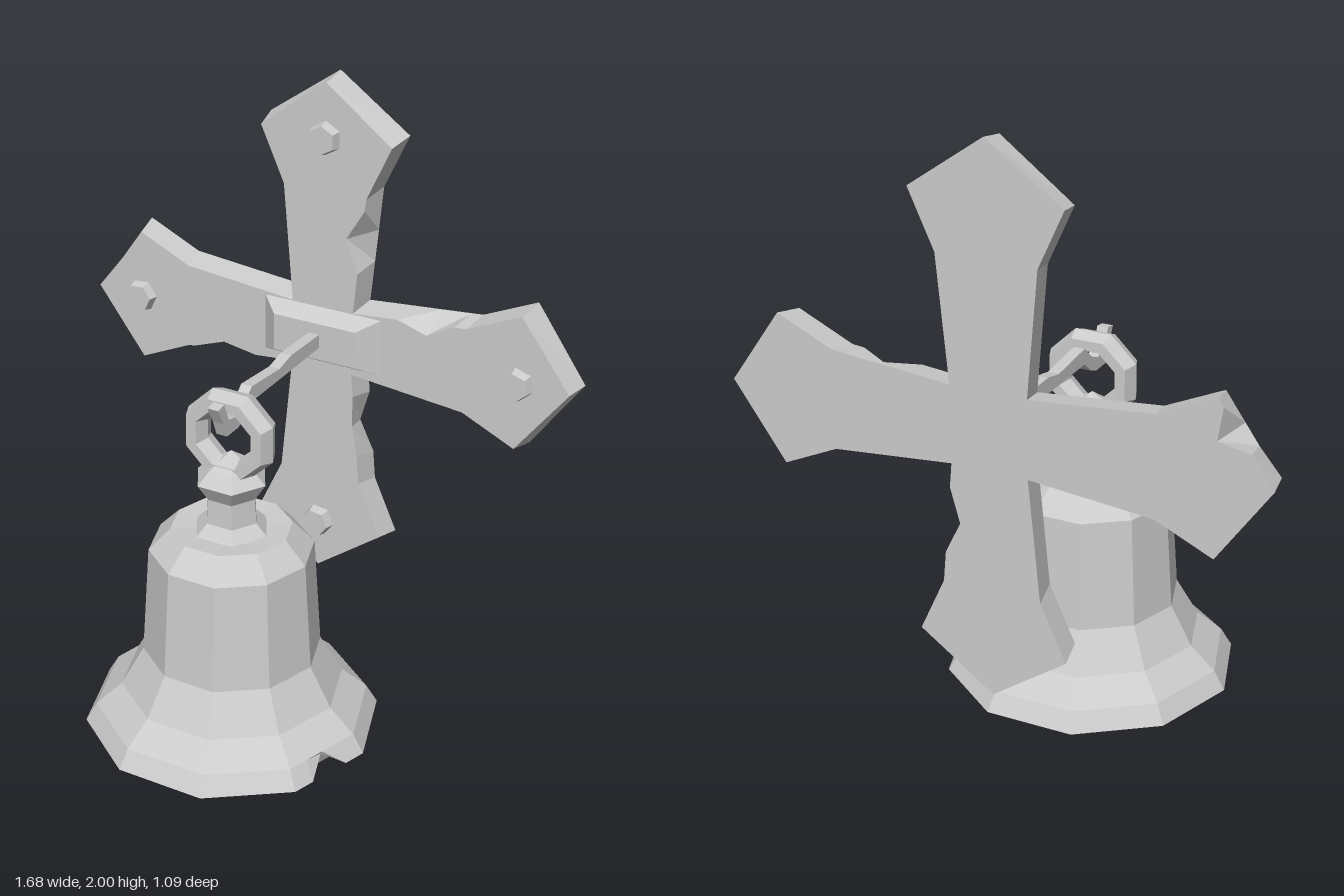
import * as THREE from 'three';

const BELL_Z = 0.11, HUB_Y = 1.16, BACK = -0.545, FACE = -0.455;
const mat = new THREE.MeshStandardMaterial({ color: 0xcccccc, flatShading: true });

function add(parent, name, geometry, x = 0, y = 0, z = 0) {
  const mesh = new THREE.Mesh(geometry, mat);
  mesh.name = name;
  mesh.position.set(x, y, z);
  parent.add(mesh);
  return mesh;
}

// Flared cross: one arm outline turned four times, front loop slightly inset, edges chipped
function crossGeometry() {
  const arm = [[0.12, 0.12], [0.155, 0.5], [0.235, 0.675], [0, 0.84], [-0.235, 0.675], [-0.155, 0.5], [-0.12, 0.12]];
  // arm (0 up, 1 right, 2 down, 3 left), edge, span along edge, front depth, back depth
  const chips = [
    { arm: 0, edge: 0, from: 0.35, to: 0.9, front: 0.05, back: 0 },
    { arm: 3, edge: 5, from: 0.1, to: 0.6, front: 0.04, back: 0 },
    { arm: 1, edge: 5, from: 0.05, to: 0.65, front: 0.03, back: 0 },
    { arm: 2, edge: 5, from: 0.25, to: 0.8, front: 0.01, back: 0.04 },
    { arm: 1, edge: 2, from: 0.1, to: 0.6, front: 0, back: 0.07 },
  ];
  const front = [], back = [];
  for (let k = 0; k < 4; k++) {
    const put = (u, v, nx = 0, ny = 0, f = 0, b = 0) => {
      const turn = (p) => p.rotateAround(new THREE.Vector2(), k * Math.PI / 2);
      back.push(turn(new THREE.Vector2(u + nx * b, v + ny * b)));
      front.push(turn(new THREE.Vector2(u - Math.sign(u) * 0.015 + nx * f, v - 0.015 + ny * f)));
    };
    for (let e = 0; e < 6; e++) {
      const [ax, ay] = arm[e], dx = arm[e + 1][0] - ax, dy = arm[e + 1][1] - ay, len = Math.hypot(dx, dy);
      put(ax, ay);
      const c = chips.find((q) => q.arm === k && q.edge === e);
      if (!c) continue;
      for (const [t, d] of [[c.from, 0], [(c.from + c.to) / 2, 1], [c.to, 0]]) {
        put(ax + dx * t, ay + dy * t, -dy / len, dx / len, c.front * d, c.back * d);
      }
    }
  }
  const n = front.length, index = [];
  const pos = [...front.map((p) => [p.x, p.y, FACE]), ...back.map((p) => [p.x, p.y, BACK])].flat();
  for (const [a, b, c] of THREE.ShapeUtils.triangulateShape(front, [])) index.push(a, b, c);
  for (const [a, b, c] of THREE.ShapeUtils.triangulateShape(back, [])) index.push(n + a, n + c, n + b);
  for (let i = 0; i < n; i++) {
    const j = (i + 1) % n;
    index.push(n + i, n + j, j, n + i, j, i);
  }
  const g = new THREE.BufferGeometry();
  g.setAttribute('position', new THREE.Float32BufferAttribute(pos, 3));
  g.setIndex(index);
  const flat = g.toNonIndexed();
  flat.computeVertexNormals();
  return flat;
}

// Ten-sided bell shell: fine lathe flattened onto a decagon, with one rim chip
function bellGeometry() {
  const profile = [
    [0, 0.72], [0.21, 0.68], [0.235, 0.36], [0.3, 0.24], [0.4, 0.095],
    [0.46, 0.095], [0.425, 0.155], [0.345, 0.225], [0.275, 0.35], [0.252, 0.7], [0.185, 0.77], [0, 0.755],
  ].map(([r, y]) => new THREE.Vector2(r, y));
  const g = new THREE.LatheGeometry(profile, 40, Math.PI / 2);
  const p = g.attributes.position, side = Math.PI / 5;
  for (let i = 0; i < p.count; i++) {
    const v = new THREE.Vector3().fromBufferAttribute(p, i);
    const a = Math.atan2(v.z, v.x) + 2 * Math.PI + 1e-6;
    const k = Math.cos(side / 2) / Math.cos((a % side) - side / 2);
    v.x *= k;
    v.z *= k;
    if (v.distanceTo(new THREE.Vector3(0.416, 0.095, 0.135)) < 0.02) {
      v.set(v.x * 0.91, 0.145, v.z * 0.91);
    }
    p.setXYZ(i, v.x, v.y, v.z);
  }
  g.computeVertexNormals();
  return g;
}

// Mounting plate: box whose front face is drawn in
function plateGeometry() {
  const g = new THREE.BoxGeometry(0.415, 0.19, 0.06);
  const p = g.attributes.position;
  for (let i = 0; i < p.count; i++) {
    if (p.getZ(i) > 0) p.setXY(i, p.getX(i) * 0.68, p.getY(i) * 0.64);
  }
  g.computeVertexNormals();
  return g;
}

// Bar ending in an upturned hook, drawn as a (z, y) side outline
function hookGeometry() {
  const outline = [
    [-0.41, 1.15], [0.02, 1.15], [0.06, 1.115], [0.1, 1.1], [0.165, 1.1], [0.185, 1.15],
    [0.215, 1.205], [0.18, 1.21], [0.155, 1.15], [0.11, 1.14], [0.07, 1.155], [0.02, 1.2],
    [-0.15, 1.185], [-0.22, 1.2], [-0.41, 1.195],
  ].map(([z, y]) => new THREE.Vector2(z, y));
  const g = new THREE.ExtrudeGeometry(new THREE.Shape(outline), { depth: 0.036, bevelEnabled: false });
  return g.rotateY(-Math.PI / 2).translate(0.018, 0, 0);
}

export function createModel() {
  const model = new THREE.Group();
  model.name = 'wallBell';

  // Wall bracket
  const bracket = new THREE.Group();
  bracket.name = 'bracket';
  model.add(bracket);
  add(bracket, 'cross', crossGeometry(), 0, HUB_Y, 0);
  for (let k = 0; k < 4; k++) {
    const a = k * Math.PI / 2;
    const bolt = new THREE.CylinderGeometry(0.045, 0.055, 0.035, 6).rotateX(Math.PI / 2).rotateZ(0.2 * k);
    add(bracket, 'bolt', bolt, 0.66 * Math.sin(a), HUB_Y + 0.655 * Math.cos(a), FACE + 0.0125);
  }
  add(bracket, 'plate', plateGeometry(), 0, 1.17, -0.43);
  add(bracket, 'hook', hookGeometry());

  // Hanging ring
  const ring = new THREE.TorusGeometry(0.118, 0.036, 6, 8).rotateZ(Math.PI / 8).scale(1, 0.97, 1.4);
  add(model, 'ring', ring, 0, 1.08, BELL_Z + 0.005);

  // Bell, six-sided neck and clapper
  const bell = new THREE.Group();
  bell.name = 'bell';
  bell.position.z = BELL_Z;
  model.add(bell);
  add(bell, 'shell', bellGeometry());
  const neck = [[0.13, 0.755], [0.085, 0.8], [0.08, 0.88], [0.115, 0.935], [0.075, 0.975], [0, 1.025]];
  add(bell, 'neck', new THREE.LatheGeometry(neck.map(([r, y]) => new THREE.Vector2(r, y)), 6, Math.PI / 2));
  add(bell, 'clapperRod', new THREE.CylinderGeometry(0.025, 0.025, 0.55, 6), 0, 0.445, 0);
  add(bell, 'clapperBall', new THREE.SphereGeometry(0.1, 8, 6), 0, 0.105, 0);

  return model;
}
